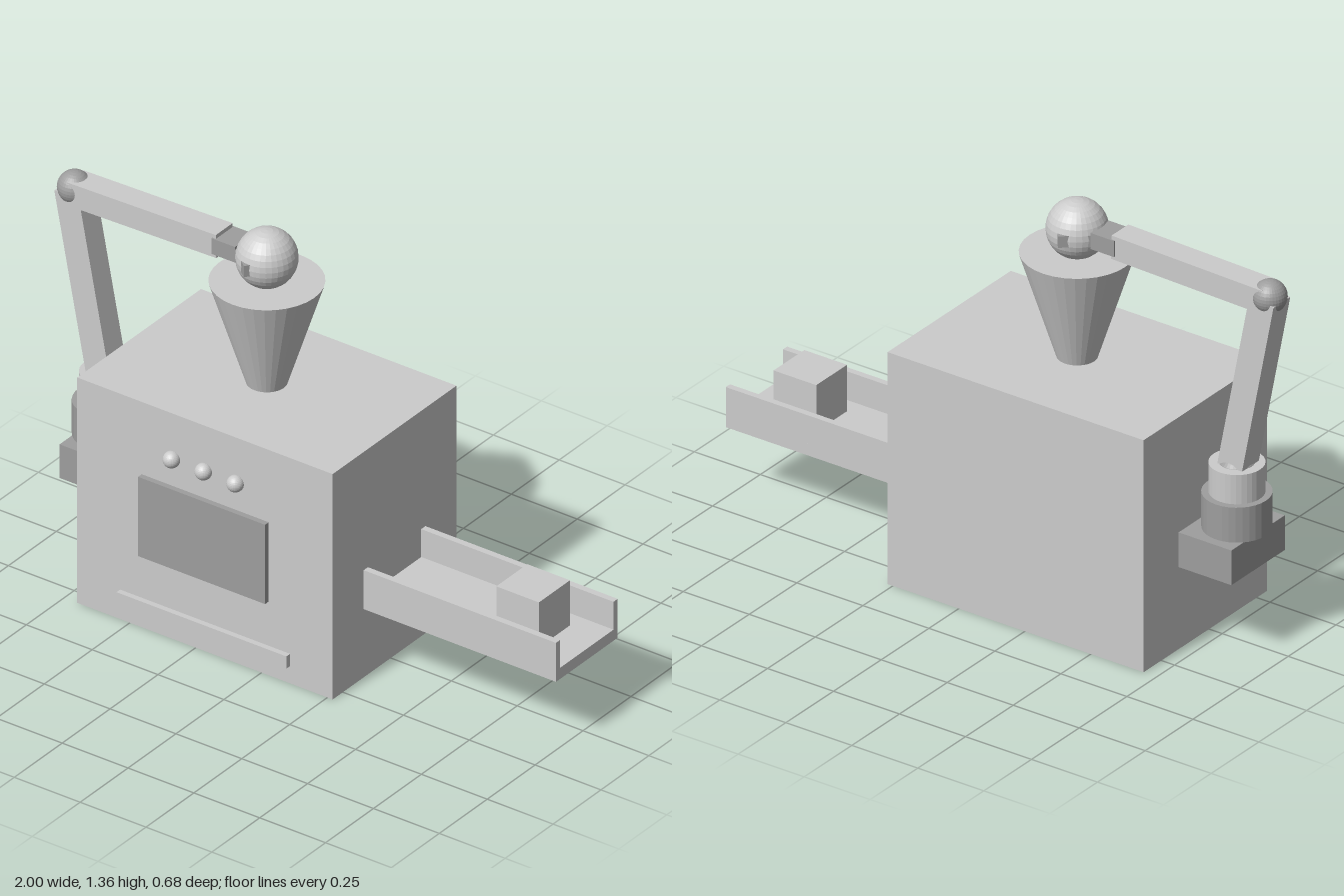
import * as THREE from 'three';

const Z = -0.02; // centre line of the machine

export function createModel() {
  const root = new THREE.Group();
  const light = new THREE.MeshStandardMaterial({ color: 0xcccccc });
  light.name = 'light grey';
  const dark = new THREE.MeshStandardMaterial({ color: 0x9e9e9e });
  dark.name = 'mid grey';

  function add(name, geo, mat, x = 0, y = 0, z = Z) {
    const m = new THREE.Mesh(geo, mat);
    m.name = name;
    m.position.set(x, y, z);
    root.add(m);
    return m;
  }
  // faceted copy of a round geometry
  function facet(geo) {
    const g = geo.toNonIndexed();
    g.computeVertexNormals();
    return g;
  }
  // box given by its extents
  const block = (name, mat, x0, x1, y0, y1, z0, z1) =>
    add(name, new THREE.BoxGeometry(x1 - x0, y1 - y0, z1 - z0), mat,
      (x0 + x1) / 2, (y0 + y1) / 2, (z0 + z1) / 2);
  const ball = (name, mat, r, x, y, z = Z) =>
    add(name, facet(new THREE.SphereGeometry(r, 32, 16)), mat, x, y, z);
  const drum = (name, mat, rTop, rBottom, x, y0, y1) =>
    add(name, facet(new THREE.CylinderGeometry(rTop, rBottom, y1 - y0, 32)), mat, x, (y0 + y1) / 2);
  // square bar between two points; its length runs along local z
  function bar(name, mat, a, b, w, h) {
    const p = new THREE.Vector3(...a), q = new THREE.Vector3(...b);
    const m = add(name, new THREE.BoxGeometry(w, h, p.distanceTo(q)), mat);
    m.position.copy(p).add(q).multiplyScalar(0.5);
    m.lookAt(q);
    return m;
  }

  // cabinet and its front fittings
  block('cabinet', light, -0.70, 0.27, 0, 0.81, -0.343, 0.303);
  block('window', dark, -0.455, 0.027, 0.265, 0.55, 0.29, 0.322);
  block('frontRail', light, -0.537, 0.108, 0.062, 0.106, 0.29, 0.322);
  for (const x of [-0.336, -0.215, -0.094]) ball('button', light, 0.028, x, 0.65, 0.311);

  // hopper with the ball above it
  drum('hopper', light, 0.18, 0.061, -0.215, 0.80, 1.175);
  ball('heldBall', light, 0.098, -0.215, 1.257);

  // output chute: floor, two rails, and a block on it
  block('chuteFloor', light, 0.26, 1, 0.245, 0.285, Z - 0.161, Z + 0.161);
  for (const s of [-1, 1]) {
    const z = Z + s * 0.15;
    block('chuteRail', light, 0.26, 1, 0.245, 0.385, z - 0.011, z + 0.011);
  }
  block('product', light, 0.715, 0.877, 0.285, 0.447, Z - 0.081, Z + 0.081);

  // arm mount
  block('armBracket', dark, -0.90, -0.69, 0.287, 0.408, Z - 0.14, Z + 0.14);
  drum('armBase', dark, 0.11, 0.11, -0.82, 0.408, 0.53);
  drum('armTurret', light, 0.088, 0.088, -0.82, 0.53, 0.632);
  ball('shoulderJoint', dark, 0.066, -0.82, 0.597);

  // arm links
  bar('upperArm', light, [-0.82, 0.61, Z], [-0.945, 1.25, Z], 0.088, 0.092);
  ball('elbowJoint', dark, 0.055, -0.945, 1.25);
  bar('forearm', light, [-0.945, 1.246, Z], [-0.376, 1.259, Z], 0.088, 0.082);
  bar('wrist', dark, [-0.39, 1.2585, Z], [-0.30, 1.259, Z], 0.098, 0.056);

  // fingers spreading around the ball
  for (const s of [-1, 1])
    bar('finger', dark, [-0.32, 1.257, Z + s * 0.02], [-0.215, 1.257, Z + s * 0.102], 0.022, 0.04);

  return root;
}
